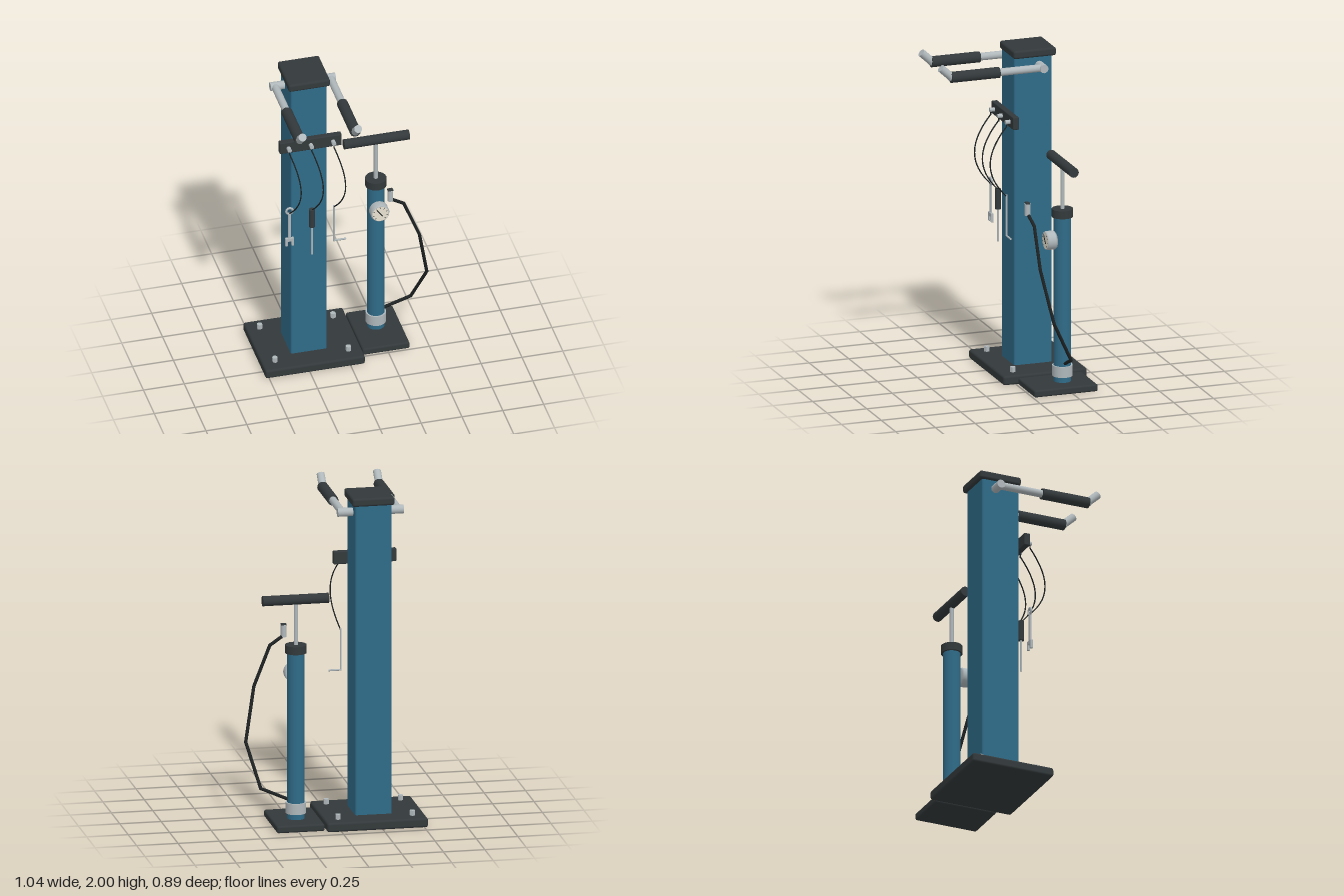
import * as THREE from 'three';
import { RoundedBoxGeometry } from 'three/addons/geometries/RoundedBoxGeometry.js';

const mat = (color) => new THREE.MeshStandardMaterial({ color });
const V = (x, y, z) => new THREE.Vector3(x, y, z);

export function createModel() {
  const model = new THREE.Group();
  const blue = mat(0x2f6b88), dark = mat(0x33393b), steel = mat(0xb0b8bb);
  const rubber = mat(0x1e2223), cream = mat(0xe8e2d2);

  const add = (name, geometry, material, parent = model) => {
    const mesh = new THREE.Mesh(geometry, material);
    mesh.name = name;
    parent.add(mesh);
    return mesh;
  };
  const group = (name) => {
    const g = new THREE.Group();
    g.name = name;
    model.add(g);
    return g;
  };
  // Box given by its limits on each axis, with softened edges
  const box = (name, [x0, x1], [y0, y1], [z0, z1], r, material, parent) => {
    const mesh = add(name, new RoundedBoxGeometry(x1 - x0, y1 - y0, z1 - z0, 2, r), material, parent);
    mesh.position.set((x0 + x1) / 2, (y0 + y1) / 2, (z0 + z1) / 2);
    return mesh;
  };
  // Round bar between two points
  const rod = (name, a, b, r, material, parent, sides = 16) => {
    const mesh = add(name, new THREE.CylinderGeometry(r, r, a.distanceTo(b), sides), material, parent);
    mesh.position.copy(a).lerp(b, 0.5);
    mesh.quaternion.setFromUnitVectors(V(0, 1, 0), b.clone().sub(a).normalize());
    return mesh;
  };
  // Bars through a list of points, with balls at the bends
  const bentRod = (name, pts, r, material, parent, sides = 8) => {
    pts.slice(1).forEach((p, i) => {
      rod(name, pts[i], p, r, material, parent, sides);
      if (i > 0) add(name + 'Bend', new THREE.SphereGeometry(r, sides, 6), material, parent).position.copy(pts[i]);
    });
  };

  // Stand: base plate, column, cap and anchor bolts
  const stand = group('stand');
  box('basePlate', [-0.522, 0.087], [0, 0.057], [-0.447, 0.08], 0.014, dark, stand);
  box('column', [-0.332, -0.111], [0.04, 1.97], [-0.298, -0.058], 0.012, blue, stand);
  box('columnCap', [-0.346, -0.092], [1.95, 2], [-0.318, -0.05], 0.014, dark, stand);
  for (const x of [-0.443, 0.006]) for (const z of [-0.36, -0.007]) {
    const bolt = rod('anchorBolt', V(x, 0.05, z), V(x, 0.088, z), 0.017, steel, stand, 6);
    bolt.material = steel;
    bolt.geometry = bolt.geometry.toNonIndexed();
    bolt.geometry.computeVertexNormals();
  }

  // Hanger: cross bar and two arms with grips and raised tips
  const hanger = group('hanger');
  rod('crossBar', V(-0.418, 1.897, -0.215), V(-0.02, 1.897, -0.215), 0.026, steel, hanger);
  for (const x of [-0.389, -0.049]) {
    rod('arm', V(x, 1.897, -0.215), V(x, 1.897, 0.365), 0.023, steel, hanger);
    rod('armGrip', V(x, 1.897, 0.06), V(x, 1.897, 0.365), 0.033, dark, hanger);
    rod('armTip', V(x, 1.895, 0.355), V(x, 1.96, 0.426), 0.024, steel, hanger);
    add('armBend', new THREE.SphereGeometry(0.023, 16, 10), steel, hanger).position.set(x, 1.897, 0.362);
  }

  // Tool rail with studs and hanging cables
  const rail = group('toolRail');
  box('railBar', [-0.409, -0.029], [1.535, 1.613], [-0.06, -0.022], 0.006, dark, rail);
  const toolX = [-0.356, -0.22, -0.084];
  for (const x of toolX) {
    rod('railStud', V(x, 1.573, -0.03), V(x, 1.573, 0.008), 0.013, steel, rail, 12);
    const cable = new THREE.CubicBezierCurve3(
      V(x, 1.545, 0), V(x + 0.054, 1.4, 0.156), V(x + 0.054, 1.27, 0.156), V(x, 1.115, 0));
    add('cable', new THREE.TubeGeometry(cable, 24, 0.004, 6), rubber, rail);
    rod('cableLoop', V(x, 1.573, 0), V(x, 1.54, 0), 0.004, rubber, rail, 6);
  }

  // Wrench: ring head, shank and open jaw
  const wrench = group('wrench');
  wrench.position.set(toolX[0], 0, 0);
  add('wrenchRing', new THREE.TorusGeometry(0.02, 0.007, 8, 20), steel, wrench).position.y = 1.133;
  box('wrenchShank', [-0.009, 0.009], [0.935, 1.115], [-0.006, 0.006], 0.003, steel, wrench);
  box('wrenchJaw', [-0.026, 0.026], [0.915, 0.94], [-0.008, 0.008], 0.003, steel, wrench);
  for (const s of [-1, 1]) {
    const x = s * 0.019;
    box('wrenchProng', [x - 0.007, x + 0.007], [0.883, 0.925], [-0.008, 0.008], 0.003, steel, wrench);
  }

  // Screwdriver
  const driver = group('screwdriver');
  rod('driverHandle', V(toolX[1], 1, 0.005), V(toolX[1], 1.125, 0.005), 0.018, dark, driver, 12);
  rod('driverShaft', V(toolX[1], 0.8, 0.005), V(toolX[1], 1.01, 0.005), 0.006, steel, driver, 8);

  // Hex key
  bentRod('hexKey', [V(toolX[2], 1.125, 0), V(toolX[2], 0.872, 0), V(-0.01, 0.872, 0)], 0.006, steel, group('hexKeyTool'), 6);

  // Floor pump: foot, barrel, collars, plunger and handle
  const pump = group('pump');
  const px = 0.235, pz = -0.236;
  const upright = (name, y0, y1, r, material, sides = 28) =>
    rod(name, V(px, y0, pz), V(px, y1, pz), r, material, pump, sides);
  box('pumpFoot', [0.095, 0.383], [0, 0.044], [-0.408, -0.008], 0.012, dark, pump);
  upright('pumpBarrel', 0.035, 1.08, 0.052, blue);
  upright('lowerBand', 0.077, 0.143, 0.061, steel);
  upright('topCollar', 1.058, 1.107, 0.064, dark);
  upright('plungerRod', 1.1, 1.38, 0.0125, steel, 14);
  rod('pumpHandle', V(0.038, 1.383, pz), V(0.437, 1.383, pz), 0.03, dark, pump, 20);

  // Pressure gauge facing forward, with dial, ticks and needle
  const gauge = group('gauge');
  gauge.position.set(px, 0.918, -0.19);
  const profile = [[0, 0], [0.05, 0], [0.057, 0.012], [0.057, 0.052], [0.053, 0.062], [0.048, 0.062], [0.048, 0.058], [0, 0.058]];
  add('gaugeCase', new THREE.LatheGeometry(profile.map(([r, y]) => new THREE.Vector2(r, y)), 28), steel, gauge)
    .rotation.x = Math.PI / 2;
  add('gaugeDial', new THREE.CircleGeometry(0.05, 28), cream, gauge).position.z = 0.0625;
  for (let i = 0; i < 9; i++) {
    const a = -Math.PI / 4 + (i * Math.PI * 1.5) / 8;
    const tick = add('gaugeTick', new THREE.BoxGeometry(0.009, 0.003, 0.001), rubber, gauge);
    tick.position.set(0.041 * Math.cos(a), 0.041 * Math.sin(a), 0.0632);
    tick.rotation.z = a;
  }
  rod('gaugeNeedle', V(0.012, -0.016, 0.064), V(-0.022, 0.03, 0.064), 0.003, rubber, gauge, 6);

  // Air hose and chuck
  const hose = group('hose');
  bentRod('hoseRun', [V(px, 0.14, pz), V(0.29, 0.165, -0.235), V(0.443, 0.23, -0.215), V(0.507, 0.484, -0.085),
    V(0.445, 0.805, -0.021), V(0.348, 1.05, -0.018), V(0.262, 1.105, -0.008)], 0.01, rubber, hose, 10);
  rod('chuck', V(0.262, 1.095, -0.006), V(0.262, 1.168, -0.006), 0.018, steel, hose, 12);
  box('chuckLever', [0.245, 0.279], [1.165, 1.177], [-0.018, 0.006], 0.004, dark, hose);

  return model;
}
